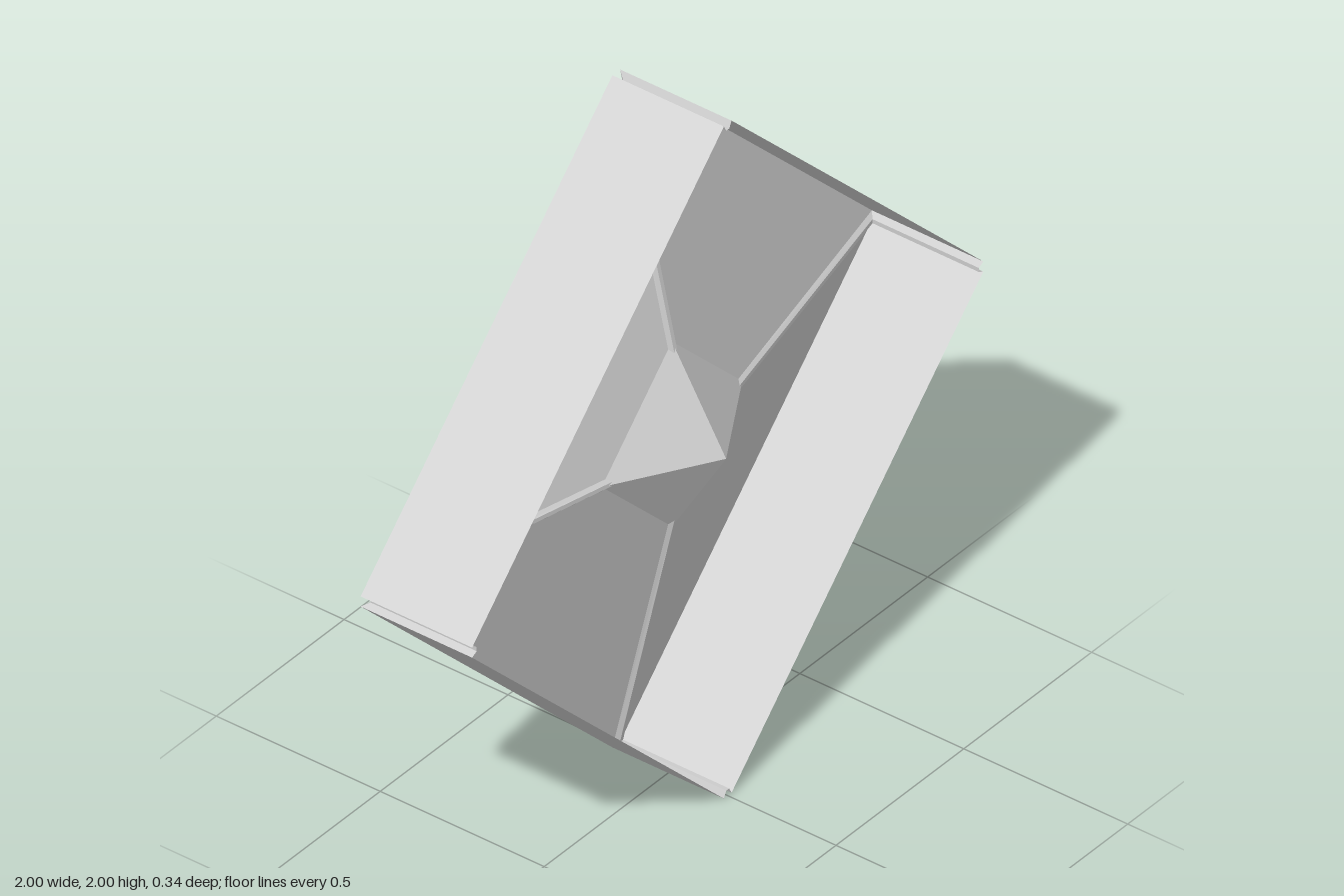
import * as THREE from 'three';

const material = new THREE.MeshStandardMaterial({
  color: 0xcccccc, flatShading: true, side: THREE.DoubleSide,
});

const DEPTH = 0.17;  // half depth of the rim
const GAP = 0.015;   // half width of a seam
const FLOOR = 0.006; // half width of the seam's flat floor
const INNER = 0.275; // half diagonal of the centre pyramid
const PEAK = 0.165;  // height of the centre pyramid

// Skin rows of [x, y, z] points with flat quads.
function loft(rows) {
  const positions = [];
  for (let i = 0; i < rows.length - 1; i++) {
    for (let j = 0; j < rows[i].length - 1; j++) {
      const a = rows[i][j], b = rows[i][j + 1];
      const c = rows[i + 1][j + 1], d = rows[i + 1][j];
      positions.push(...a, ...b, ...c, ...a, ...c, ...d);
    }
  }
  const geometry = new THREE.BufferGeometry();
  geometry.setAttribute('position', new THREE.Float32BufferAttribute(positions, 3));
  geometry.computeVertexNormals();
  return geometry;
}

// One quadrant: rim wall from front to back, then the panel rising to the centre.
function panelGeometry() {
  const row = (r, z) => [[r, GAP, z], [GAP, r, z]];
  return loft([row(1, DEPTH), row(1, -DEPTH), row(INNER - GAP, 0)]);
}

// Seam at one corner: channel sunk in the rim, then a raised rib to the centre.
function seamGeometry() {
  const row = (edgeR, edgeZ, floorR, floorZ) => [
    [edgeR, -GAP, edgeZ], [floorR, -FLOOR, floorZ],
    [floorR, FLOOR, floorZ], [edgeR, GAP, edgeZ],
  ];
  return loft([
    row(1, DEPTH, 0.982, DEPTH),
    row(1, -DEPTH, 0.982, -DEPTH + 0.016),
    row(INNER - GAP, 0, INNER - 0.026, 0.012),
  ]);
}

export function createModel() {
  const model = new THREE.Group();
  model.name = 'diamondTray';
  const add = (name, geometry, turn) => {
    const mesh = new THREE.Mesh(geometry, material);
    mesh.name = name;
    mesh.position.y = 1;
    mesh.rotation.z = turn;
    model.add(mesh);
  };

  const panel = panelGeometry();
  const seam = seamGeometry();
  for (let i = 0; i < 4; i++) {
    add(`panel${i + 1}`, panel, i * Math.PI / 2);
    add(`seam${i + 1}`, seam, i * Math.PI / 2);
  }

  // Centre pyramid, open at the back
  const pyramid = new THREE.ConeGeometry(INNER, PEAK, 4, 1, true);
  pyramid.rotateX(Math.PI / 2).translate(0, 0, PEAK / 2);
  add('centrePyramid', pyramid, 0);

  return model;
}
